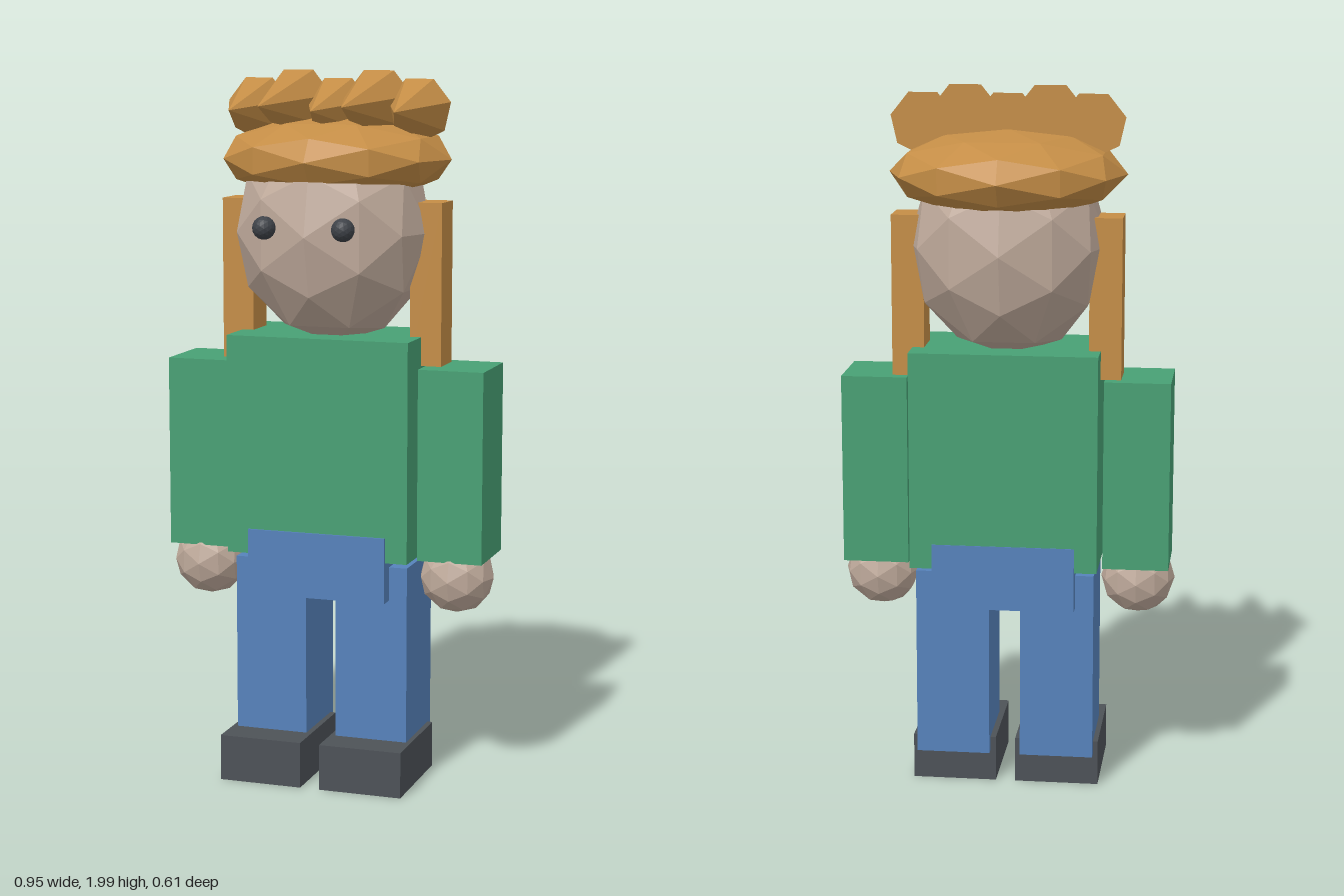
import * as THREE from 'three';

const mat = (name, color) => {
  const m = new THREE.MeshStandardMaterial({ color, flatShading: true });
  m.name = name;
  return m;
};

export function createModel() {
  const model = new THREE.Group();
  model.name = 'blockyFigure';
  const skin = mat('skin', 0xbfaa9b);
  const hair = mat('hair', 0xc48d46);
  const shirt = mat('shirt green', 0x48a074);
  const denim = mat('trouser blue', 0x5682bb);
  const shoe = mat('shoe grey', 0x4d5257);
  const eyeDark = mat('eye dark', 0x3e4248);

  const add = (name, geometry, material, x = 0, y = 0, z = 0) => {
    const mesh = new THREE.Mesh(geometry, material);
    mesh.name = name;
    mesh.position.set(x, y, z);
    model.add(mesh);
    return mesh;
  };
  // Box given by its limits on each axis
  const box = (name, material, [x0, x1], [y0, y1], [z0, z1]) =>
    add(name, new THREE.BoxGeometry(x1 - x0, y1 - y0, z1 - z0), material,
      (x0 + x1) / 2, (y0 + y1) / 2, (z0 + z1) / 2);
  // Faceted ball stretched to three radii
  const ball = (name, material, [rx, ry, rz], [x, y, z], detail = 1) =>
    add(name, new THREE.IcosahedronGeometry(1, detail).scale(rx, ry, rz), material, x, y, z);

  // Body
  box('torso', shirt, [-0.263, 0.263], [0.65, 1.265], [-0.153, 0.167]);
  box('hips', denim, [-0.2, 0.2], [0.535, 0.72], [-0.155, 0.173]);

  // Head and hair cap
  ball('head', skin, [0.28, 0.315, 0.26], [0, 1.55, 0.008]);
  ball('hairCap', hair, [0.33, 0.12, 0.287], [0, 1.75, -0.018]);

  // Paired parts
  for (const [side, s] of [['left', 1], ['right', -1]]) {
    const span = (a, b) => (s > 0 ? [a, b] : [-b, -a]);
    box(side + 'Arm', shirt, span(0.275, 0.46), [0.65, 1.185], [-0.1, 0.11]);
    ball(side + 'Hand', skin, [0.105, 0.105, 0.105], [s * 0.368, 0.597, 0.025]);
    box(side + 'Leg', denim, span(0.044, 0.252), [0.09, 0.63], [-0.11, 0.128]);
    box(side + 'Shoe', shoe, span(0.028, 0.266), [0, 0.13], [-0.085, 0.227]);
    box(side + 'HairStrand', hair, span(0.23, 0.32), [1.185, 1.635], [-0.066, 0.04]);
    ball(side + 'Eye', eyeDark, [0.032, 0.032, 0.032], [s * 0.112, 1.575, 0.27], 2);
  }

  // Fringe of forward-pointing spikes
  for (let i = -2; i <= 2; i++) {
    const long = i % 2 !== 0;
    const length = long ? 0.328 : 0.238;
    const radius = long ? 0.1 : 0.092;
    const spike = new THREE.ConeGeometry(radius, length, 7).rotateX(Math.PI / 2);
    add('fringeSpike' + (i + 3), spike, hair, i * 0.117, long ? 1.9 : 1.885, -0.027 + length / 2);
  }
  return model;
}
